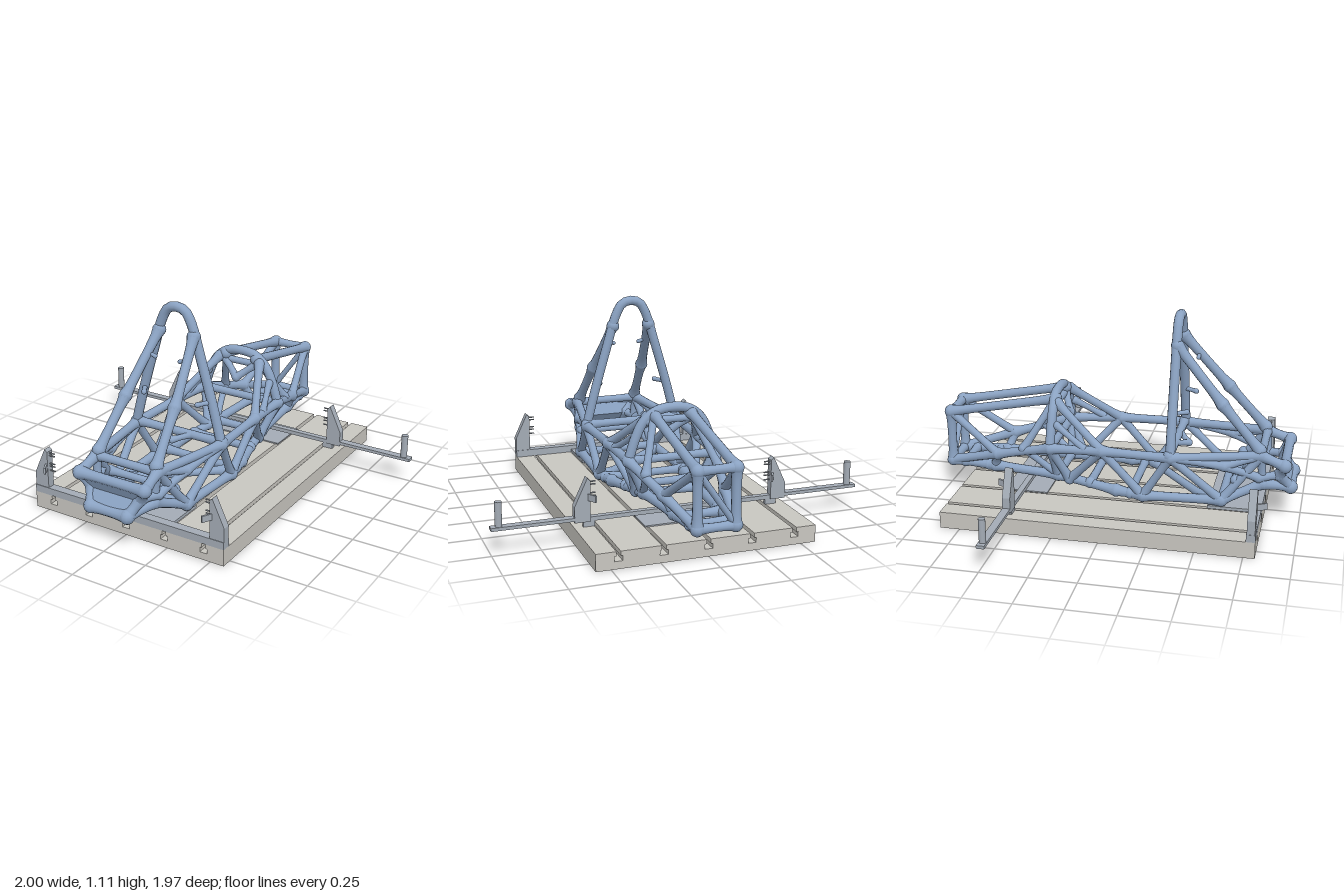
import * as THREE from 'three';
import { ConvexGeometry } from 'three/addons/geometries/ConvexGeometry.js';

const mat = (color, extra = {}) => Object.assign(new THREE.MeshStandardMaterial({ color }), extra);
const V = (p) => new THREE.Vector3(...p);
const mirror = ([x, y, z]) => [-x, y, z];

export function createModel() {
  const root = new THREE.Group();
  const blue = mat(0x8ba3c3), stone = mat(0xc8c6c0), steel = mat(0xa3abb5);

  const group = (name) => {
    const g = new THREE.Group();
    g.name = name;
    root.add(g);
    return g;
  };
  const add = (parent, name, geometry, material) => {
    const m = new THREE.Mesh(geometry, material);
    m.name = name;
    parent.add(m);
    return m;
  };
  const box = (parent, name, x0, x1, y0, y1, z0, z1, material = steel) => {
    const m = add(parent, name, new THREE.BoxGeometry(x1 - x0, y1 - y0, z1 - z0), material);
    m.position.set((x0 + x1) / 2, (y0 + y1) / 2, (z0 + z1) / 2);
    return m;
  };

  // Organic strut: waisted in the middle, flared towards its joints
  const strut = (parent, name, a, b, r) => {
    const p = V(a), q = V(b), len = p.distanceTo(q), profile = [];
    for (let i = 0; i <= 10; i++) {
      const t = i / 10, end = Math.min(t, 1 - t) * len;
      profile.push(new THREE.Vector2(r * (1 + 0.45 * Math.exp(-end / 0.035)), t * len));
    }
    const m = add(parent, name, new THREE.LatheGeometry(profile, 12), blue);
    m.position.copy(p);
    m.quaternion.setFromUnitVectors(new THREE.Vector3(0, 1, 0), q.sub(p).normalize());
  };
  const chain = (parent, name, pts, r = 0.023) => {
    pts.forEach((p, i) => {
      if (i) strut(parent, name, pts[i - 1], p, r);
      add(parent, name + 'Joint', new THREE.SphereGeometry(r * 1.45, 12, 8), blue).position.set(...p);
    });
  };
  const pair = (parent, name, pts, r) => {
    chain(parent, name, pts, r);
    chain(parent, name, pts.map(mirror), r);
  };
  const cross = (parent, name, p, r) => chain(parent, name, [p, mirror(p)], r);
  // Bent tube with even thickness
  const bent = (parent, name, pts, r) =>
    add(parent, name, new THREE.TubeGeometry(new THREE.CatmullRomCurve3(pts.map(V)), 48, r, 12), blue);

  // Slotted base plate
  const base = group('basePlate');
  const s = new THREE.Shape();
  s.moveTo(-0.58, 0);
  s.lineTo(0.577, 0);
  s.lineTo(0.577, 0.09);
  for (const x of [0.463, 0.232, 0, -0.232, -0.463]) {
    for (const [dx, y] of [[0.011, 0.09], [0.011, 0.066], [0.021, 0.066], [0.021, 0.04],
      [-0.021, 0.04], [-0.021, 0.066], [-0.011, 0.066], [-0.011, 0.09]]) s.lineTo(x + dx, y);
  }
  s.lineTo(-0.58, 0.09);
  s.closePath();
  const plate = new THREE.ExtrudeGeometry(s, { depth: 1.665, bevelEnabled: false });
  plate.translate(0, 0, -0.855);
  add(base, 'slottedPlate', plate, stone);

  // Fixture bars and locating plates
  const jig = group('fixture');
  box(jig, 'rearLocatingPlate', -0.24, 0.24, 0.09, 0.097, -0.6, -0.36);
  box(jig, 'frontLocatingPlate', -0.24, 0.24, 0.09, 0.107, 0.52, 0.77);
  box(jig, 'frontBar', -0.58, 0.577, 0.09, 0.13, 0.762, 0.81);
  box(jig, 'rearBar', -0.52, 0.52, 0.12, 0.142, -0.5, -0.468);
  for (const side of [-1, 1]) {
    const a = side * 0.5, b = side;
    box(jig, 'outriggerBar', Math.min(a, b), Math.max(a, b), 0.13, 0.147, -0.507, -0.465);
    add(jig, 'endPost', new THREE.CylinderGeometry(0.018, 0.018, 0.13, 20), steel)
      .position.set(side * 0.958, 0.21, -0.486);
    box(jig, 'rearBarFoot', side * 0.5 - 0.03, side * 0.5 + 0.03, 0.09, 0.12, -0.495, -0.473);

    // Tapered brackets with pins and a small angled tab
    for (const [z, out] of [[0.786, 1], [-0.486, -1]]) {
      const sh = new THREE.Shape([[0.578, 0.12], [0.578, 0.205], [0.51, 0.35], [0.495, 0.335], [0.495, 0.12]]
        .map(([x, y]) => new THREE.Vector2(side * x, y)));
      const g = new THREE.ExtrudeGeometry(sh, { depth: 0.042, bevelEnabled: false });
      g.translate(0, 0, z - 0.021);
      add(jig, 'bracket', g, steel);
      for (const y of [0.225, 0.25, 0.265, 0.31, 0.325]) {
        const pin = add(jig, 'bracketPin', new THREE.CylinderGeometry(0.004, 0.004, 0.045, 8), steel);
        pin.rotation.z = Math.PI / 2;
        pin.position.set(side * 0.485, y, z);
      }
      const tab = add(jig, 'clampTab', new THREE.BoxGeometry(0.01, 0.035, 0.06), steel);
      tab.position.set(side * 0.493, 0.25, z + out * 0.04);
      tab.rotation.y = -side * out * 0.5;
    }
  }

  // Key joints on the model's left side
  const lowFront = [0.225, 0.14, 0.59], lowHoop = [0.24, 0.133, 0.17];
  const lowMid = [0.215, 0.138, 0.02], lowDash = [0.15, 0.17, -0.32];
  const lowRear = [0.12, 0.18, -0.69], lowEnd = [0.1, 0.185, -0.945];
  const topFront = [0.185, 0.395, 0.79], topHoop = [0.268, 0.375, 0.32];
  const topMid = [0.255, 0.375, -0.05], topDash = [0.24, 0.36, -0.34];
  const dashTop = [0.1, 0.595, -0.34], endTop = [0.1, 0.475, -0.945];
  const noseTop = [0.195, 0.35, 0.915], noseLow = [0.11, 0.2, 0.945];
  const sideRear = [0.165, 0.27, -0.66];

  // Long side rails
  const rails = group('sideRails');
  pair(rails, 'lowerRail', [lowFront, lowHoop, lowMid, lowDash, lowRear, lowEnd], 0.025);
  pair(rails, 'upperRail', [noseTop, topFront, topHoop, topMid, topDash, sideRear, lowEnd], 0.024);
  pair(rails, 'rearTopRail', [dashTop, endTop], 0.025);

  // Zigzag side bracing
  const web = group('sideBracing');
  pair(web, 'sideDiagonal', [topFront, lowFront, topHoop, lowHoop, topMid, [0.17, 0.16, -0.25], topDash], 0.022);
  pair(web, 'innerSideStrut', [topFront, [0.235, 0.34, 0.6], topHoop], 0.02);
  pair(web, 'rearSideDiagonal', [lowRear, sideRear, endTop], 0.021);
  pair(web, 'dashLeg', [topDash, lowDash], 0.022);
  pair(web, 'dashRearStrut', [dashTop, [0.2, 0.33, -0.5]], 0.02);
  pair(web, 'dashLowerStrut', [lowDash, [0.2, 0.33, -0.5]], 0.018);
  pair(web, 'dashFrontBrace', [topMid, [0.13, 0.58, -0.32]], 0.022);
  pair(web, 'dashInnerBrace', [[0.25, 0.38, -0.15], [0.2, 0.48, -0.31]], 0.016);

  // Tall roll hoop and its braces
  const hoop = group('rollHoop');
  bent(hoop, 'mainHoop', [topHoop, [0.215, 0.58, 0.32], [0.145, 0.82, 0.32], [0.085, 1.01, 0.32],
    [0.05, 1.065, 0.32], [0, 1.08, 0.32], [-0.05, 1.065, 0.32], [-0.085, 1.01, 0.32],
    [-0.145, 0.82, 0.32], [-0.215, 0.58, 0.32], mirror(topHoop)], 0.026);
  pair(hoop, 'hoopBrace', [[0.105, 0.94, 0.325], [0.15, 0.65, 0.575], [0.175, 0.42, 0.78]], 0.025);
  pair(hoop, 'braceStub', [[0.12, 0.84, 0.41], [0.075, 0.825, 0.41]], 0.008);
  pair(hoop, 'hoopStub', [[0.2, 0.6, 0.33], [0.165, 0.6, 0.39]], 0.01);

  // Low arch in front of the seat opening
  const arch = group('dashArch');
  bent(arch, 'arch', [topDash, [0.205, 0.47, -0.34], [0.16, 0.56, -0.34], [0.09, 0.615, -0.345],
    [0, 0.63, -0.345], [-0.09, 0.615, -0.345], [-0.16, 0.56, -0.34], [-0.205, 0.47, -0.34], mirror(topDash)], 0.026);
  cross(arch, 'archBar', [0.14, 0.565, -0.34], 0.019);
  pair(arch, 'archVee', [[0.1, 0.565, -0.335], [0, 0.485, -0.285]], 0.018);

  // Crosswise tubes and floor
  const bars = group('crossTubes');
  for (const p of [lowFront, [0.228, 0.135, 0.1], [0.185, 0.155, -0.13], lowDash,
    [0.115, 0.18, -0.73], [0.105, 0.183, -0.87], lowEnd, endTop, topFront, topDash]) cross(bars, 'crossTube', p, 0.022);
  cross(bars, 'hoopCrossTube', [0.268, 0.385, 0.315], 0.023);
  cross(bars, 'innerFrontTube', [0.2, 0.25, 0.66], 0.02);
  chain(bars, 'floorDiagonal', [[-0.2, 0.138, 0.5], [0.2, 0.138, 0.15]], 0.022);
  pair(bars, 'hoopVee', [[0.08, 0.385, 0.32], [0, 0.36, 0.38]], 0.014);

  // Rear end uprights
  const rear = group('rearEnd');
  pair(rear, 'endUpright', [endTop, lowEnd], 0.024);
  chain(rear, 'endDiagonal', [endTop, mirror(lowEnd)], 0.016);

  // Nose bulkhead
  const nose = group('nose');
  cross(nose, 'noseTopTube', noseTop, 0.026);
  cross(nose, 'noseLip', noseLow, 0.027);
  pair(nose, 'noseEdge', [noseTop, [0.15, 0.28, 0.885], noseLow], 0.024);
  pair(nose, 'noseLowerStrut', [noseLow, [0.17, 0.23, 0.8], lowFront], 0.024);
  pair(nose, 'noseSideStrut', [[0.15, 0.28, 0.885], [0.185, 0.27, 0.78], [0.235, 0.34, 0.6]], 0.02);
  pair(nose, 'noseUpright', [topFront, [0.17, 0.23, 0.8]], 0.021);
  const levels = [[0.195, 0.35, 0.915], [0.15, 0.28, 0.885], [0.115, 0.2, 0.945]];
  for (let i = 0; i < 2; i++) {
    const pts = [];
    for (const [x, y, z] of [levels[i], levels[i + 1]])
      for (const sx of [-1, 1]) for (const dz of [-0.022, 0.022]) pts.push(V([sx * x, y, z + dz]));
    add(nose, 'nosePanel', new ConvexGeometry(pts), blue);
  }
  return root;
}
